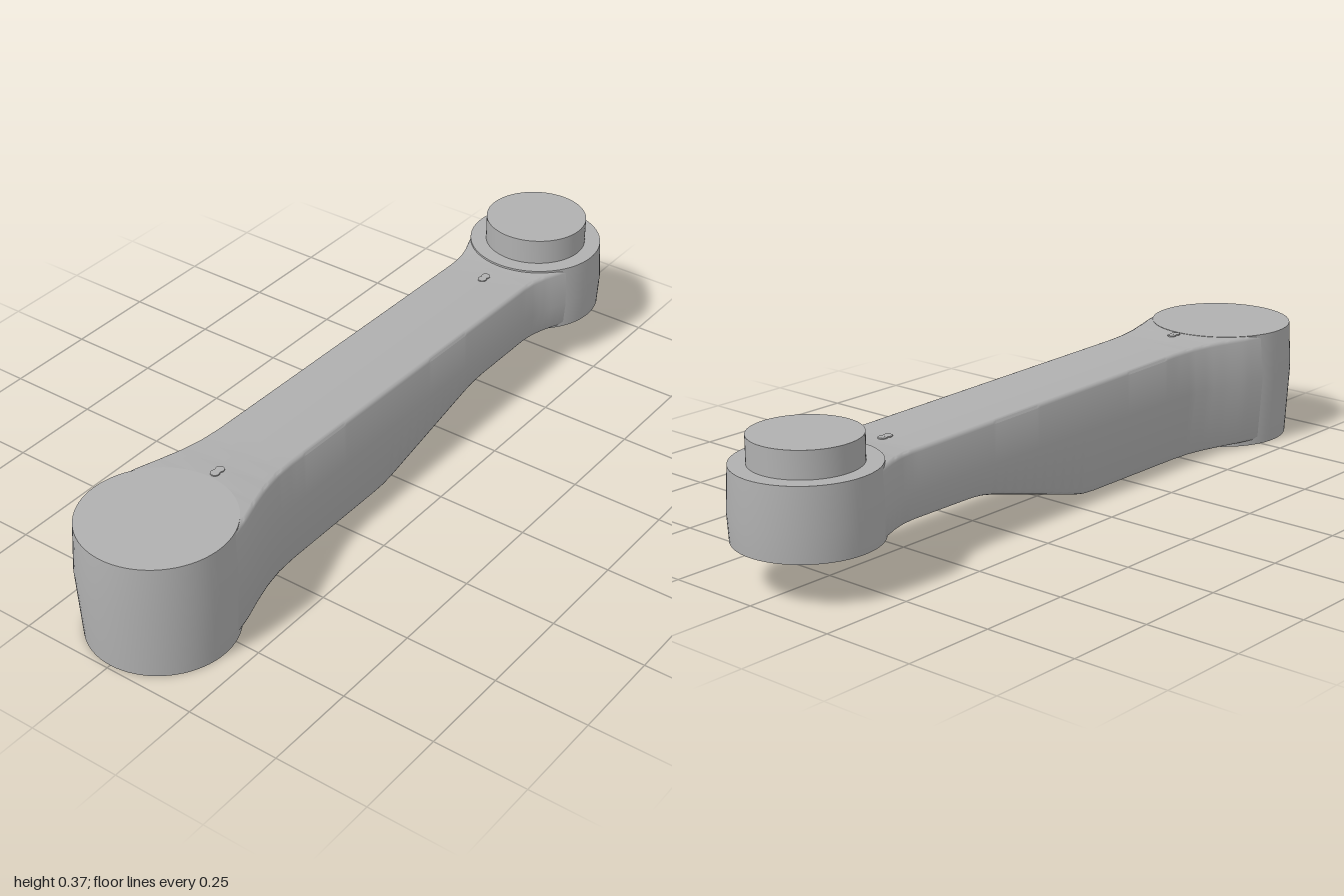
import * as THREE from 'three';
import { toCreasedNormals } from 'three/addons/utils/BufferGeometryUtils.js';

const LEFT_X = -0.8, RIGHT_X = 0.813;

// Piecewise linear lookup through [x, value] pairs
function lookup(table, x) {
  if (x <= table[0][0]) return table[0][1];
  for (let i = 1; i < table.length; i++) {
    const [x0, v0] = table[i - 1], [x1, v1] = table[i];
    if (x <= x1) return v0 + (v1 - v0) * (x - x0) / (x1 - x0);
  }
  return table[table.length - 1][1];
}

const WIDTH = [[-0.75, 0.193], [-0.68, 0.176], [-0.62, 0.156], [-0.56, 0.139], [-0.5, 0.128], [-0.44, 0.124],
  [0.58, 0.124], [0.62, 0.128], [0.66, 0.139], [0.7, 0.155], [0.75, 0.174]];
const BOTTOM = [[-0.75, 0.012], [-0.1, 0.012], [-0.06, 0.014], [-0.02, 0.022],
  [0.3, 0.108], [0.34, 0.116], [0.38, 0.119], [0.75, 0.12]];
const TOP = [[-0.75, 0.317], [-0.6, 0.317], [0.55, 0.295], [0.75, 0.295]];

// Half widths shrink slightly above and below the parting line
const draft = (w, y) => w - 0.055 * Math.abs(y - 0.19);

// Arm lofted along x; its underside stays clear of the socket bore
function armGeometry() {
  const steps = 120, r = 0.01, positions = [], index = [];
  let count = 0;
  for (let s = 0; s <= steps; s++) {
    const x = -0.75 + 1.5 * s / steps;
    const w = lookup(WIDTH, x), b = lookup(BOTTOM, x), t = lookup(TOP, x);
    const inner = Math.sqrt(Math.max(0, 0.165 ** 2 - (x - LEFT_X) ** 2));
    const wb = draft(w, b), wt = draft(w, t);
    const half = [[inner, b], [wb - r, b], [wb - 0.003, b + 0.003], [wb, b + r], [w, 0.19],
      [wt, t - r], [wt - 0.003, t - 0.003], [wt - r, t]];
    const ring = [...half, ...half.slice().reverse().map(([z, y]) => [-z, y])];
    count = ring.length;
    ring.forEach(([z, y]) => positions.push(x, y, z));
  }
  for (let s = 0; s < steps; s++) {
    for (let i = 0; i < count - 1; i++) {
      const a = s * count + i, b = a + count;
      index.push(a, b, b + 1, a, b + 1, a + 1);
    }
  }
  const g = new THREE.BufferGeometry();
  g.setAttribute('position', new THREE.Float32BufferAttribute(positions, 3));
  g.setIndex(index);
  return toCreasedNormals(g, 0.9);
}

function turned(profile) {
  const points = profile.map(([r, y]) => new THREE.Vector2(r, y));
  return toCreasedNormals(new THREE.LatheGeometry(points, 72), 0.5);
}

export function createModel() {
  const group = new THREE.Group();
  const grey = new THREE.MeshStandardMaterial({ color: 0xb0b0b0 });
  grey.name = 'grey';

  function add(name, geometry, x = 0, y = 0, z = 0) {
    const mesh = new THREE.Mesh(geometry, grey);
    mesh.name = name;
    mesh.position.set(x, y, z);
    group.add(mesh);
  }

  add('arm', armGeometry());

  // Large hub with a round socket underneath
  add('socketHub', turned([[0, 0.07], [0.14, 0.07], [0.14, 0], [draft(0.2, 0), 0], [0.2, 0.19],
    [draft(0.2, 0.318), 0.318], [0, 0.318]]), LEFT_X);

  // Small hub with the matching pin on top
  add('pinHub', turned([[0, 0.115], [draft(0.187, 0.115), 0.115], [0.187, 0.19],
    [draft(0.187, 0.3), 0.3], [0.138, 0.3], [0.138, 0.37], [0, 0.37]]), RIGHT_X);

  // Tiny raised marks near both ends, above and below
  const mark = new THREE.CylinderGeometry(0.012, 0.012, 0.006, 16);
  for (const x of [-0.58, 0.555]) {
    for (const [side, table] of [['upper', TOP], ['lower', BOTTOM]]) {
      for (const dx of [-0.009, 0.009]) add(side + 'Mark', mark, x + dx, lookup(table, x + dx), 0);
    }
  }
  return group;
}
